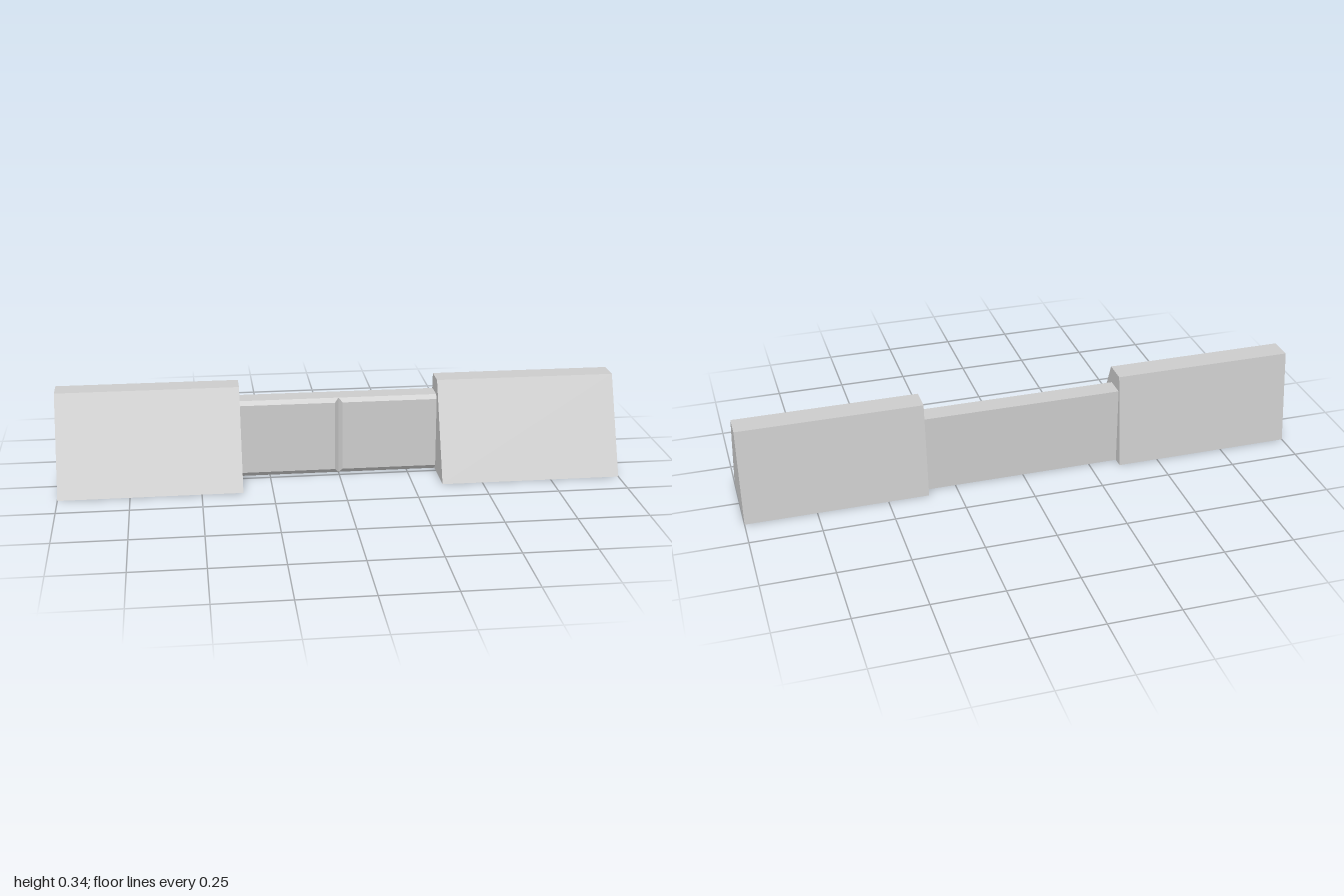
import * as THREE from 'three';

const material = new THREE.MeshStandardMaterial({ color: 0xcccccc, flatShading: true });

const INNER = 0.355; // where the wall meets the end blocks
const BLOCK_LENGTH = 1 - INNER;

// Tapered end block: side profile (z, y) extruded along x
function blockGeometry() {
  const profile = [[0.138, 0], [-0.014, 0.342], [-0.099, 0.342], [-0.138, 0]];
  // shape x = -z, so that a quarter turn about y lays the extrusion along +x
  const shape = new THREE.Shape(profile.map(([z, y]) => new THREE.Vector2(-z, y)));
  const geometry = new THREE.ExtrudeGeometry(shape, { depth: BLOCK_LENGTH, bevelEnabled: false });
  geometry.translate(0, 0, -BLOCK_LENGTH / 2);
  geometry.rotateY(Math.PI / 2);
  return geometry;
}

// Wall panel: box whose front is chamfered at the top, bottom and centre joint
function panelGeometry(side) {
  const height = 0.285, back = -0.099, shoulder = -0.027, front = -0.012, chamfer = 0.014;
  const geometry = new THREE.BoxGeometry(INNER, height, 2, 1, 1, 2);
  geometry.translate(side * INNER / 2, height / 2, 0);
  const p = geometry.attributes.position;
  for (let i = 0; i < p.count; i++) {
    const layer = Math.round(p.getZ(i)); // -1 back, 0 shoulder, 1 front
    p.setZ(i, [back, shoulder, front][layer + 1]);
    if (layer < 1) continue;
    p.setY(i, p.getY(i) + (p.getY(i) > height / 2 ? -chamfer : chamfer + 0.003));
    if (Math.abs(p.getX(i)) < 0.01) p.setX(i, side * chamfer);
  }
  const flat = geometry.toNonIndexed();
  flat.computeVertexNormals();
  return flat;
}

export function createModel() {
  const model = new THREE.Group();
  model.name = 'barrier';
  for (const [side, label] of [[1, 'left'], [-1, 'right']]) {
    const block = new THREE.Mesh(blockGeometry(), material);
    block.name = label + 'EndBlock';
    block.position.x = side * (INNER + BLOCK_LENGTH / 2);

    const panel = new THREE.Mesh(panelGeometry(side), material);
    panel.name = label + 'WallPanel';

    model.add(block, panel);
  }
  return model;
}
